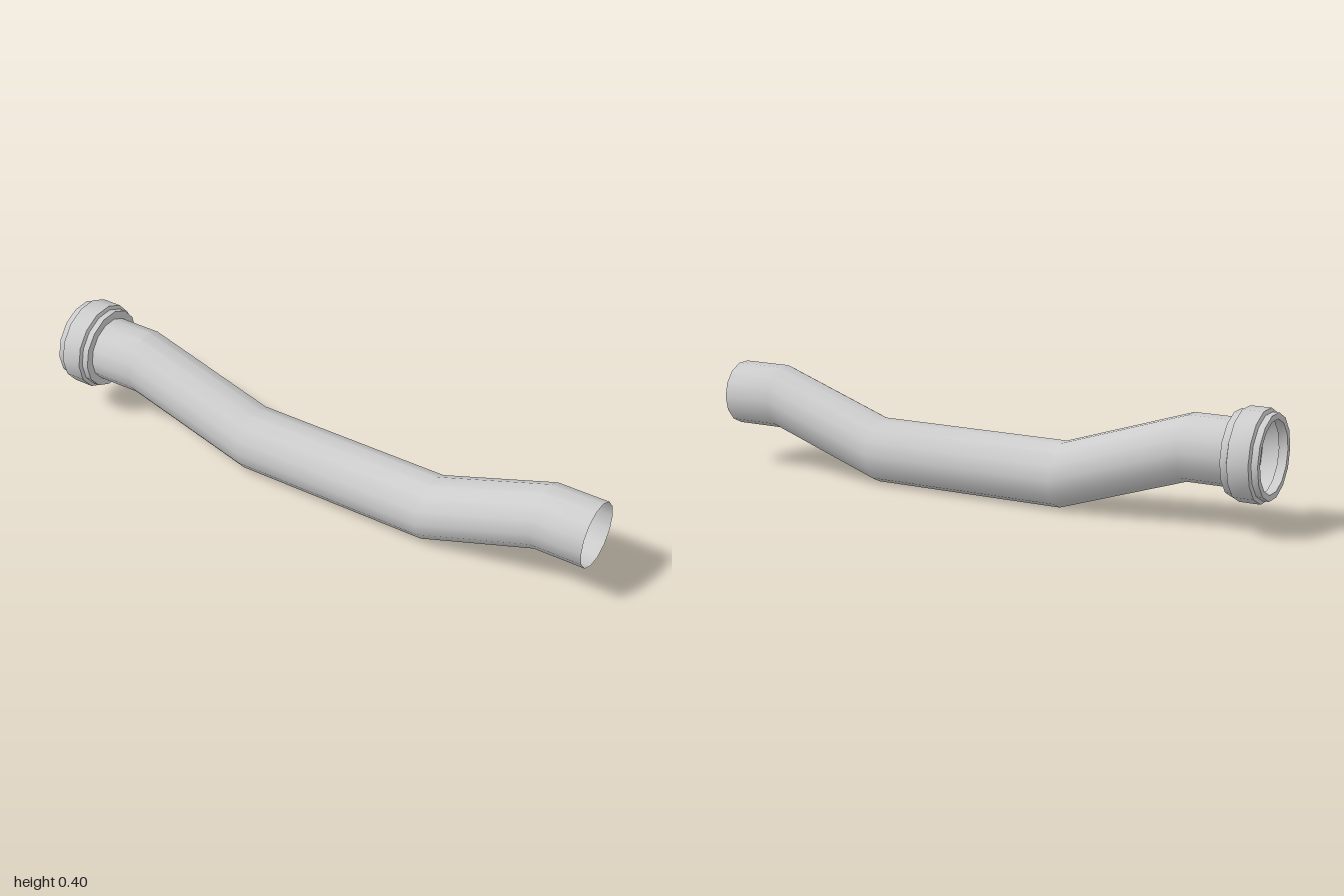
import * as THREE from 'three';
import { toCreasedNormals } from 'three/addons/utils/BufferGeometryUtils.js';

const SIDES = 14;
const HIGH = 0.251, LOW = 0.107; // axis heights of the raised ends and the sunken middle

// Revolve [x, radius] pairs about the x axis, with height(x) for the axis
function revolve(name, profile, height) {
  const points = profile.map(([x, r]) => new THREE.Vector2(r, x));
  const geometry = new THREE.LatheGeometry(points, SIDES).rotateZ(-Math.PI / 2);
  const pos = geometry.attributes.position;
  for (let i = 0; i < pos.count; i++) pos.setY(i, pos.getY(i) + height(pos.getX(i)));
  geometry.computeVertexNormals();
  const material = new THREE.MeshStandardMaterial({ color: 0xcccccc, side: THREE.DoubleSide });
  const mesh = new THREE.Mesh(toCreasedNormals(geometry, 0.52), material);
  mesh.name = name;
  return mesh;
}

export function createModel() {
  const group = new THREE.Group();
  group.name = 'offsetPipe';

  // Open thin pipe, sheared down between its upright bend sections
  const R = 0.11;
  const sunken = (x) => {
    const t = x < 0 ? (x + 0.723) / 0.446 : (0.824 - x) / 0.404;
    return THREE.MathUtils.lerp(HIGH, LOW, THREE.MathUtils.clamp(t, 0, 1));
  };
  const bends = [-0.88, -0.723, -0.277, 0.42, 0.824, 1];
  group.add(revolve('pipe', bends.map((x) => [x, R]), sunken));

  // Socket collar: raised band between two lips, with a seal groove inside
  const collar = [
    [-1, 0.118], [-1, 0.138], [-0.979, 0.138], [-0.974, 0.15], [-0.904, 0.15],
    [-0.899, 0.138], [-0.877, 0.138], [-0.877, R], [-0.885, R], [-0.885, 0.118],
    [-0.91, 0.118], [-0.91, 0.135], [-0.97, 0.135], [-0.97, 0.118], [-1, 0.118],
  ];
  group.add(revolve('socketCollar', collar, () => HIGH));

  return group;
}
